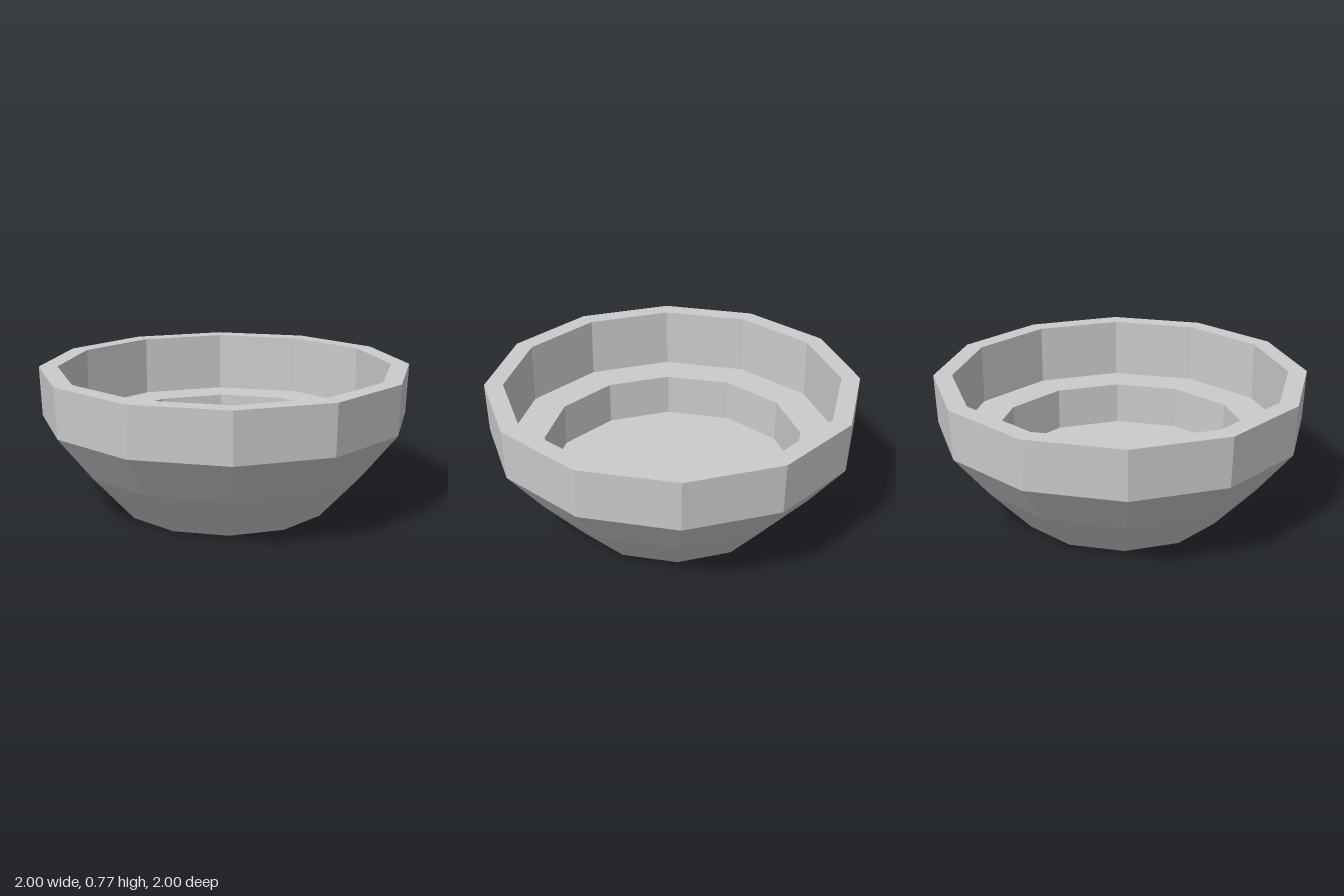
import * as THREE from 'three';

const SIDES = 12;

export function createModel() {
  const group = new THREE.Group();
  group.name = 'facetedBowl';
  const material = new THREE.MeshStandardMaterial({ color: 0xcccccc, flatShading: true });

  // Closed cross-section: underside, outer wall, rim, ledge, inner well
  const profile = [
    [0, 0], [0.53, 0], [0.57, 0.005],   // underside
    [0.8, 0.26], [0.99, 0.5], [1, 0.77], // outer wall
    [0.9, 0.77], [0.9, 0.44],           // rim and inner wall
    [0.7, 0.44], [0.7, 0.2], [0, 0.2],  // ledge, well wall and floor
  ].map(([r, y]) => new THREE.Vector2(r, y));
  const bowl = new THREE.Mesh(new THREE.LatheGeometry(profile, SIDES), material);
  bowl.name = 'bowl';
  group.add(bowl);

  // Small round stud in the middle of the floor
  const stud = new THREE.Mesh(new THREE.CylinderGeometry(0.05, 0.05, 0.03, 24), material);
  stud.name = 'centreStud';
  stud.position.y = 0.205;
  group.add(stud);

  return group;
}
